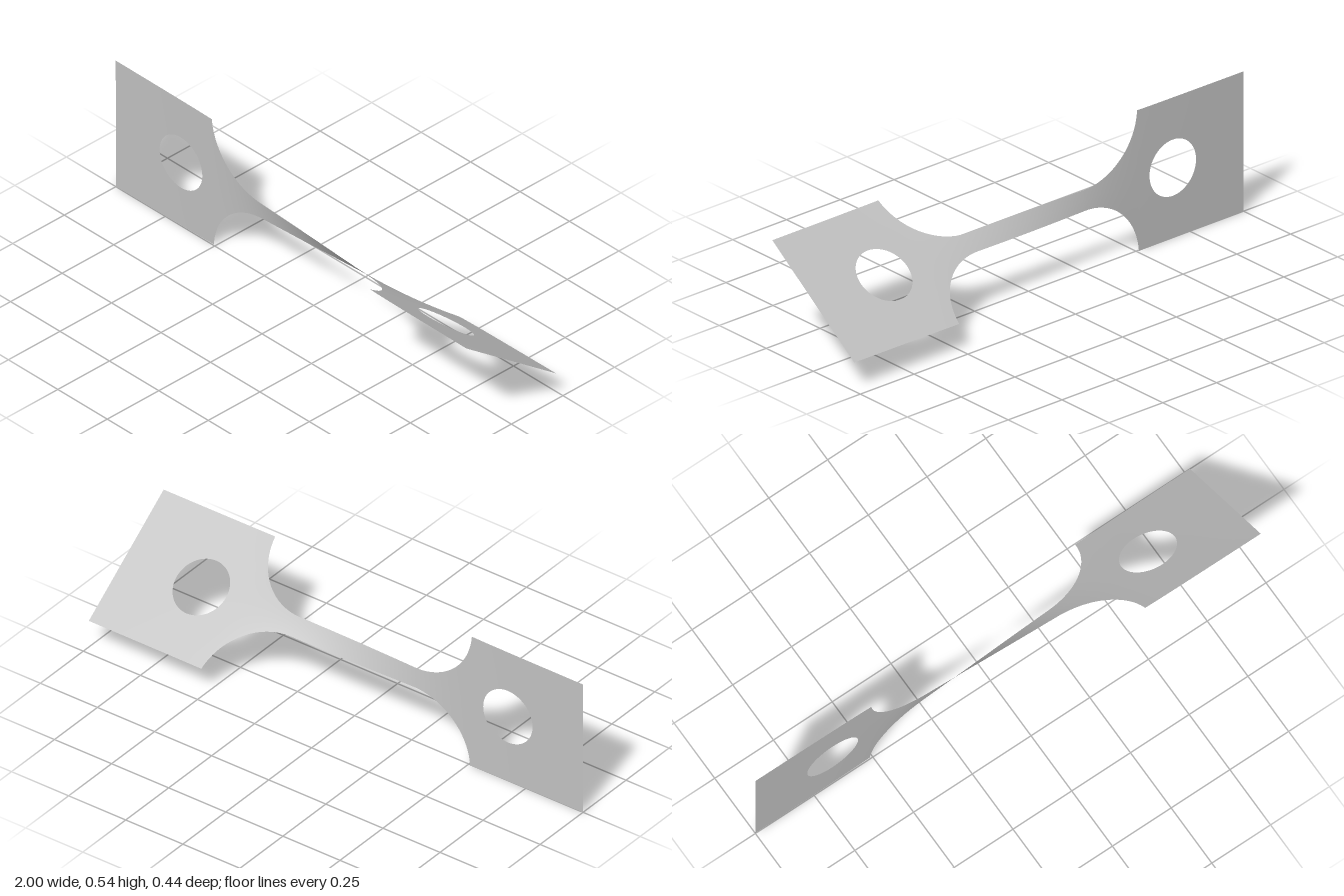
import * as THREE from 'three';
import { mergeVertices } from 'three/addons/utils/BufferGeometryUtils.js';

const HALF = 0.27, NECK = 0.0375;            // half widths of tab and neck
const FILLET = { x: 0.26, r: 0.25 };         // fillet start and radius
const TAB_X = 0.5094;                        // where the fillet meets the tab corner
const HOLE = { x: 0.671, r: 0.108 };

// Twist, in degrees either side of the middle angle, against distance from the middle
const twistCurve = [[0, 0], [0.14, 9.6], [0.27, 18], [0.36, 22.6], [0.44, 25], [0.52, 26], [0.7, 26.5], [1, 26.8]];
function twist(x) {
  const a = Math.abs(x), n = twistCurve.length;
  const slope = (i) => {
    const p = twistCurve[Math.max(i - 1, 0)], q = twistCurve[Math.min(i + 1, n - 1)];
    return (q[1] - p[1]) / (q[0] - p[0]);
  };
  let i = 0;
  while (i < n - 2 && a > twistCurve[i + 1][0]) i++;
  const [x0, y0] = twistCurve[i], [x1, y1] = twistCurve[i + 1];
  const h = x1 - x0, t = (a - x0) / h, t2 = t * t, t3 = t2 * t;
  const v = (2 * t3 - 3 * t2 + 1) * y0 + (t3 - 2 * t2 + t) * h * slope(i)
    + (3 * t2 - 2 * t3) * y1 + (t3 - t2) * h * slope(i + 1);
  return THREE.MathUtils.degToRad(27 + Math.sign(x) * v);
}

// Half width of the sheet, and half height of the hole, at x
function outer(x) {
  const d = Math.abs(x) - FILLET.x;
  if (d <= 0) return NECK;
  if (Math.abs(x) >= TAB_X) return HALF;
  return Math.min(HALF, NECK + FILLET.r - Math.sqrt(FILLET.r ** 2 - d * d));
}
function inner(x) {
  const d = Math.abs(x) - HOLE.x;
  return Math.sqrt(Math.max(0, HOLE.r ** 2 - d * d));
}

// Twisted sheet over columns xs, an upper and a lower band joined along the axis
function sheet(name, xs, material) {
  const rows = 8, pos = [], index = [];
  for (const side of [1, -1]) {
    const base = pos.length / 3;
    xs.forEach((x, i) => {
      const a = twist(x);
      for (let j = 0; j <= rows; j++) {
        const v = side * THREE.MathUtils.lerp(inner(x), outer(x), j / rows);
        pos.push(x, HALF + v * Math.cos(a), v * Math.sin(a));
        if (i && j) {
          const d = base + i * (rows + 1) + j, c = d - 1, b = d - rows - 1, e = b - 1;
          if (side > 0) index.push(e, c, d, e, d, b);
          else index.push(e, d, c, e, b, d);
        }
      }
    });
  }
  let geo = new THREE.BufferGeometry();
  geo.setAttribute('position', new THREE.Float32BufferAttribute(pos, 3));
  geo.setIndex(index);
  geo = mergeVertices(geo, 1e-5);
  geo.computeVertexNormals();
  const mesh = new THREE.Mesh(geo, material);
  mesh.name = name;
  return mesh;
}

const range = (n, f) => Array.from({ length: n + 1 }, (_, i) => f(i / n));

export function createModel() {
  const metal = new THREE.MeshStandardMaterial({ color: 0xc0c0c0, side: THREE.DoubleSide });
  metal.name = 'grey metal';
  const group = new THREE.Group();
  group.name = 'twistedTestStrip';

  // Column positions: even along the neck, by angle round the fillets and holes
  const arc = Math.asin((TAB_X - FILLET.x) / FILLET.r);
  const filletXs = range(28, (t) => FILLET.x + FILLET.r * Math.sin(t * arc));
  const tabXs = [
    ...range(4, (t) => THREE.MathUtils.lerp(TAB_X, HOLE.x - HOLE.r, t)).slice(0, -1),
    ...range(40, (t) => HOLE.x - HOLE.r * Math.cos(t * Math.PI)),
    ...range(8, (t) => THREE.MathUtils.lerp(HOLE.x + HOLE.r, 1, t)).slice(1),
  ];
  const mirror = (xs) => xs.map((x) => -x).reverse();

  group.add(
    sheet('neck', range(40, (t) => FILLET.x * (2 * t - 1)), metal),
    sheet('leftFillet', filletXs, metal),
    sheet('rightFillet', mirror(filletXs), metal),
    sheet('leftTab', tabXs, metal),
    sheet('rightTab', mirror(tabXs), metal),
  );
  return group;
}
